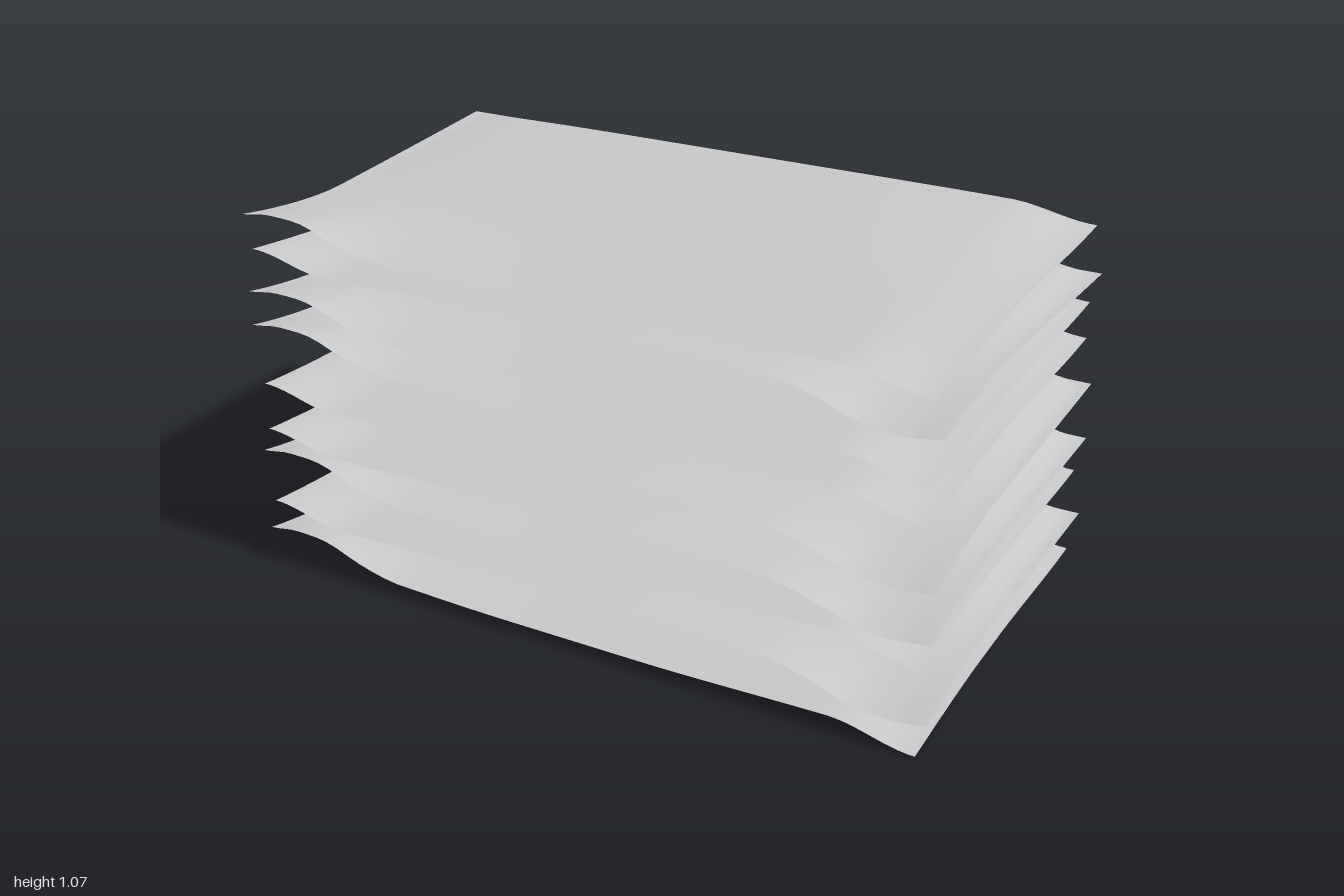
import * as THREE from 'three';

const smooth = THREE.MathUtils.smoothstep;
const lerp = THREE.MathUtils.lerp;
const Z = 0.535;

// Each packet: flipped over or not, seam height at front and back, bulge above and below the seam
const PACKETS = [
  [false, 0.043, 0.093, 0.022, 0.079],
  [true, 0.15, 0.178, 0.073, 0.042],
  [false, 0.285, 0.338, 0.021, 0.075],
  [true, 0.372, 0.41, 0.094, 0.046],
  [true, 0.508, 0.572, 0.074, 0.037],
  [false, 0.66, 0.733, 0.02, 0.074],
  [false, 0.757, 0.836, 0.021, 0.058],
  [true, 0.898, 0.889, 0.06, 0.051],
  [false, 0.975, 1.051, 0.02, 0.085],
];

// Height of the seam sheet above its base line: the front corners fan out, the far end droops
function curl(x, z) {
  const left = smooth(-x, 0.55, 0.9) - 0.25 * smooth(-x, 0.9, 1);
  const right = smooth(x, 0.74, 0.97);
  const front = Math.pow(Math.max(0, (z - 0.15) / (Z - 0.15)), 1.5);
  const crimp = 0.004 * Math.sin(x * 30) * left * front;
  const droop = 0.015 + 0.017 * smooth(-z, 0, 0.5) + 0.026 * front;
  const sag = 0.013 * smooth(z, 0, 0.5) * (1 - smooth(Math.abs(x), 0.2, 0.85));
  return left * front * 0.072 - right * droop - sag + crimp;
}

// Filling: full toward the back, thin at the front, flat on the sealed borders
function fullness(x, z, side, flipped) {
  const along = Math.max(0, 1 - Math.pow(Math.abs(x) / 0.965, 6));
  const round = side > 0 ? 0.022 : flipped ? 0.08 : 0.033;
  const back = 1 - Math.exp(-(z + Z) / round);
  const t = THREE.MathUtils.clamp((z + 0.3) / 0.77, 0, 1);
  const across = 0.5 + 0.5 * Math.cos(Math.PI * t);
  return along * back * (side > 0 ? across : Math.pow(across, 0.7));
}

// One side of a packet, shaped from a flat grid
function sheet([flipped, yFront, yBack, up, down], side) {
  const geo = new THREE.PlaneGeometry(2, 2, 48, 40);
  geo.rotateX(-side * Math.PI / 2);
  const p = geo.attributes.position;
  const dir = flipped ? -1 : 1;
  for (let i = 0; i < p.count; i++) {
    // rows gather at the rounded back, columns at the sealed ends
    const z = -Z + 2 * Z * Math.pow((p.getZ(i) + 1) / 2, 1.6);
    const u = Math.sin(p.getX(i) * Math.PI / 2) * 0.5 + p.getX(i) * 0.5;
    const x = u * 0.9875 - dir * 0.0125;
    const rise = Math.pow((Z - z) / (2 * Z), 1.15);
    const seam = lerp(yFront, yBack, rise) + dir * curl(x * dir, z);
    const bulge = side > 0 ? up : -down;
    p.setXYZ(i, x, seam + bulge * fullness(x, z, side, flipped), z);
  }
  geo.computeVertexNormals();
  return geo;
}

export function createModel() {
  const model = new THREE.Group();
  model.name = 'packetStack';
  const foil = new THREE.MeshStandardMaterial({ color: 0xc8c8c8, side: THREE.DoubleSide });
  foil.name = 'light grey wrapper';

  PACKETS.forEach((spec, i) => {
    const packet = new THREE.Group();
    packet.name = `packet${i + 1}`;
    for (const [name, side] of [['upperSheet', 1], ['lowerSheet', -1]]) {
      const mesh = new THREE.Mesh(sheet(spec, side), foil);
      mesh.name = name;
      packet.add(mesh);
    }
    model.add(packet);
  });
  return model;
}
